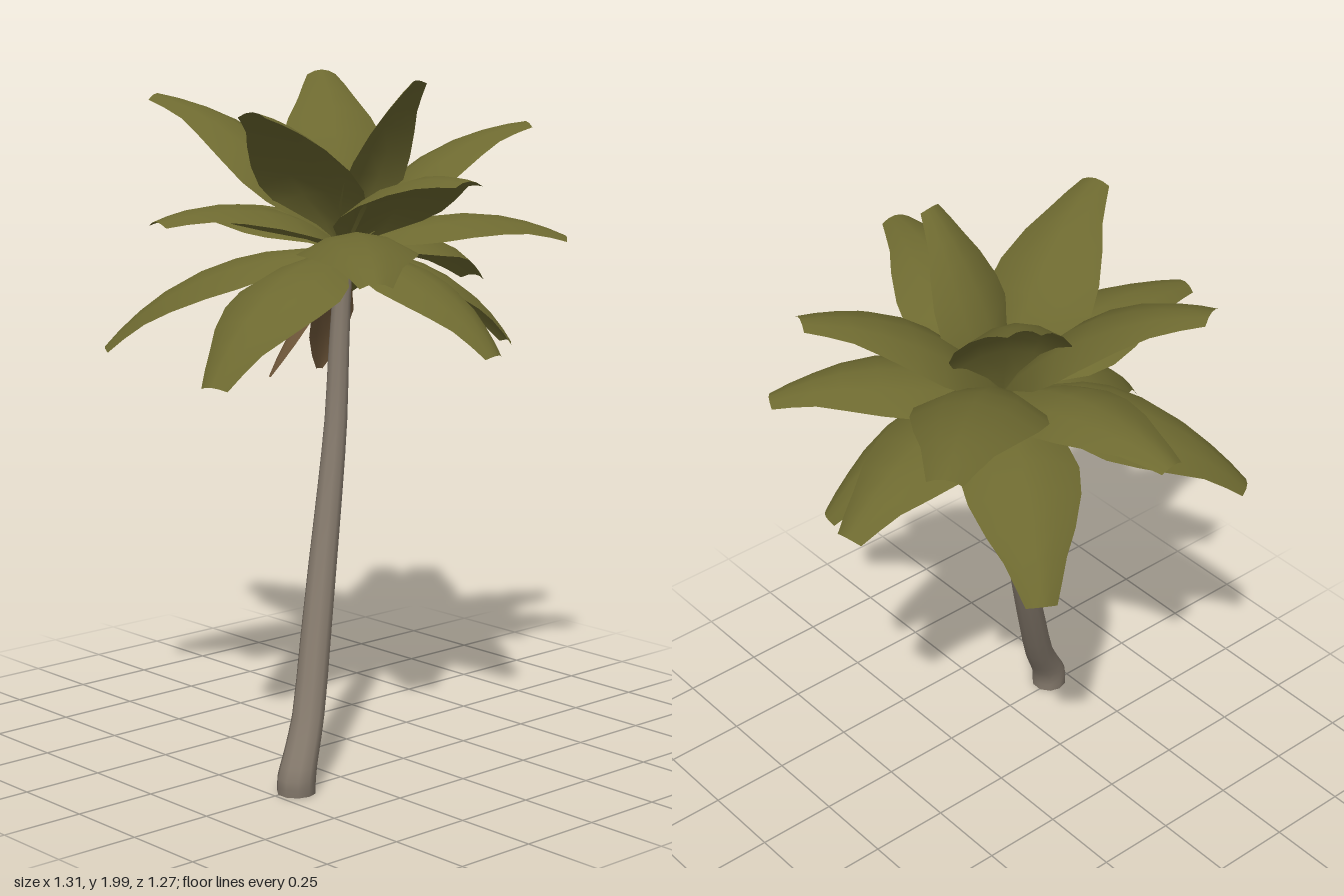
import * as THREE from 'three';
import { toCreasedNormals } from 'three/addons/utils/BufferGeometryUtils.js';

const leafGreen = new THREE.MeshStandardMaterial({ color: 0x6d6930, side: THREE.DoubleSide });
leafGreen.name = 'leafGreen';
const barkGrey = new THREE.MeshStandardMaterial({ color: 0x82776a });
barkGrey.name = 'barkGrey';
const dryBrown = new THREE.MeshStandardMaterial({ color: 0x735a3c, side: THREE.DoubleSide });
dryBrown.name = 'dryBrown';

// Half widths along a leaf, from stalk to blunt tip: [distance, fraction of width]
const LEAF = [[0, 0.08], [0.12, 0.42], [0.28, 0.88], [0.4, 1], [0.54, 0.94], [0.7, 0.74], [0.82, 0.52], [0.92, 0.38], [1, 0.26]];
const WITHERED = [[0, 0.15], [0.2, 0.6], [0.45, 1], [0.7, 0.85], [0.88, 0.5], [1, 0.15]];

// Arched blade with edges that droop from the midrib
function leafGeometry(base, tip, halfWidth, bulge, outline) {
  const chord = tip.clone().sub(base);
  const side = new THREE.Vector3(chord.z, 0, -chord.x).normalize();
  const lift = chord.clone().cross(side).normalize();
  const mid = base.clone().lerp(tip, 0.5).addScaledVector(lift, bulge * 2);
  const curve = new THREE.QuadraticBezierCurve3(base, mid, tip);
  const positions = [], index = [];
  outline.forEach(([t, w], row) => {
    const centre = curve.getPoint(t);
    const up = curve.getTangent(t).cross(side).normalize();
    for (let col = -2; col <= 2; col++) {
      const s = col / 2;
      const p = centre.clone()
        .addScaledVector(side, s * w * halfWidth)
        .addScaledVector(up, -s * s * w * halfWidth * 0.36);
      positions.push(p.x, p.y, p.z);
      if (row > 0 && col < 2) {
        const a = (row - 1) * 5 + col + 2, b = a + 5;
        index.push(a, b, a + 1, b, b + 1, a + 1);
      }
    }
  });
  const geometry = new THREE.BufferGeometry();
  geometry.setAttribute('position', new THREE.Float32BufferAttribute(positions, 3));
  geometry.setIndex(index);
  geometry.computeVertexNormals();
  return geometry;
}

// Leaning trunk: a cylinder whose rings follow a smooth curve, flared at the foot
function trunkGeometry() {
  const rings = [
    [-0.433, 0, 0.265, 0.056], [-0.432, 0.045, 0.265, 0.056], [-0.4, 0.11, 0.25, 0.051],
    [-0.35, 0.2, 0.222, 0.047], [-0.268, 0.4, 0.162, 0.045], [-0.192, 0.6, 0.108, 0.042],
    [-0.128, 0.8, 0.068, 0.038], [-0.075, 1, 0.036, 0.034], [-0.04, 1.2, 0.01, 0.031],
    [-0.015, 1.36, -0.005, 0.028], [0, 1.49, -0.01, 0.026]
  ];
  const spine = new THREE.CatmullRomCurve3(rings.map(([x, y, z]) => new THREE.Vector3(x, y, z)));
  const segments = (rings.length - 1) * 2;
  const geometry = new THREE.CylinderGeometry(1, 1, 1, 10, segments);
  const pos = geometry.attributes.position;
  for (let i = 0; i < pos.count; i++) {
    const step = Math.round((pos.getY(i) + 0.5) * segments);
    const p = spine.getPoint(step / segments);
    const r = (rings[Math.floor(step / 2)][3] + rings[Math.ceil(step / 2)][3]) / 2;
    pos.setXYZ(i, p.x + pos.getX(i) * r, p.y, p.z + pos.getZ(i) * r);
  }
  return toCreasedNormals(geometry, 0.9);
}

export function createModel() {
  const model = new THREE.Group();
  model.name = 'palmTree';

  const trunk = new THREE.Mesh(trunkGeometry(), barkGrey);
  trunk.name = 'trunk';
  model.add(trunk);

  // Leaf tips, from the upright middle leaves to the hanging outer ones
  const crown = new THREE.Group();
  crown.name = 'crown';
  const tips = [
    [0.04, 1.99, 0.25], [0.26, 1.99, -0.4], [-0.24, 1.93, -0.58], [-0.5, 1.92, 0.17],
    [0.54, 1.85, 0.2], [-0.12, 1.74, 0.625], [0.58, 1.7, -0.46], [-0.66, 1.615, -0.055],
    [-0.07, 1.54, -0.635], [0.55, 1.52, 0.36], [-0.4, 1.48, 0.56], [0.65, 1.35, -0.12],
    [0.09, 1.23, 0.53], [0.31, 1.19, -0.54], [-0.51, 1.2, -0.5], [-0.62, 1.17, 0.13],
    [0.51, 1.19, 0.17]
  ];
  tips.forEach((t, i) => {
    const base = new THREE.Vector3(0, 1.49, -0.01);
    const tip = new THREE.Vector3(...t);
    const length = base.distanceTo(tip);
    const bulge = i === 0 ? 0.05 : 0.13 * length;
    const leaf = new THREE.Mesh(leafGeometry(base, tip, 0.248 * length, bulge, LEAF), leafGreen);
    leaf.name = 'leaf' + (i + 1);
    crown.add(leaf);
  });

  // Withered leaves hanging beside the trunk
  [[0.1, 1.1, -0.235], [-0.19, 1.12, -0.13]].forEach((t, i) => {
    const base = new THREE.Vector3(0, 1.46, -0.01);
    const tip = new THREE.Vector3(...t);
    const leaf = new THREE.Mesh(leafGeometry(base, tip, 0.065, 0.02, WITHERED), dryBrown);
    leaf.name = 'witheredLeaf' + (i + 1);
    crown.add(leaf);
  });
  model.add(crown);
  return model;
}
